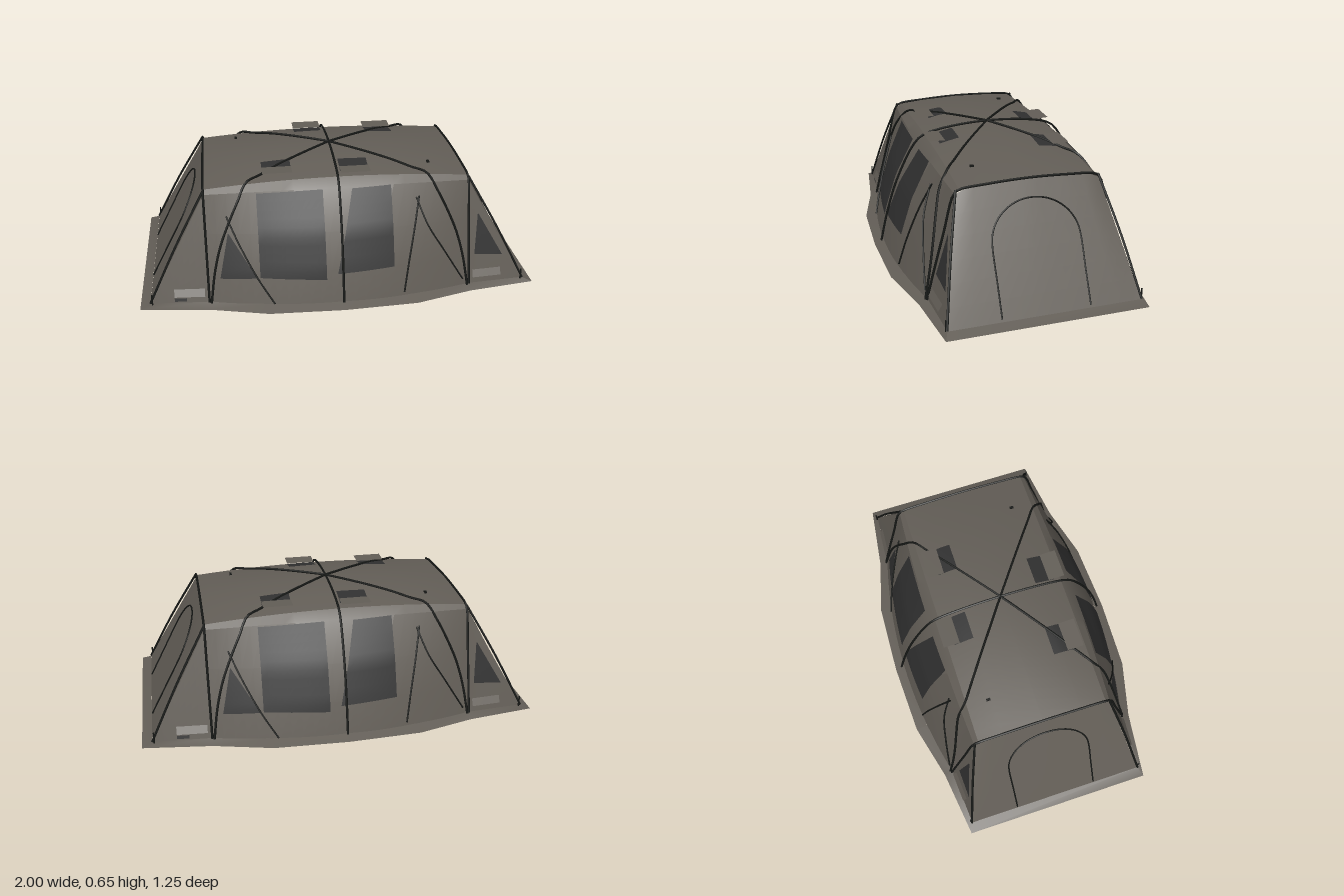
import * as THREE from 'three';
import { toCreasedNormals } from 'three/addons/utils/BufferGeometryUtils.js';

const material = (name, color, side = THREE.DoubleSide) => {
  const m = new THREE.MeshStandardMaterial({ color, side });
  m.name = name;
  return m;
};
const lerp = THREE.MathUtils.lerp;

// Half cross-sections [z, y] from the ground to the crown
const MID = [[.575, .015], [.535, .18], [.475, .36], [.375, .55], [.33, .588], [.2, .618], [0, .632]];
const END = [[.49, .015], [.452, .165], [.402, .355], [.352, .54], [.33, .558], [.2, .57], [0, .577]];
const EX = .66, BX = .95; // end arch and foot of the end wall

function section(x) {
  const t = Math.min(1, (x / EX) ** 2);
  return MID.map((p, i) => [lerp(p[0], END[i][0], t), lerp(p[1], END[i][1], t)]);
}
function interpolate(points, from, to, value) {
  for (let i = 0; i < points.length - 1; i++) {
    const a = points[i], b = points[i + 1];
    const s = (value - a[from]) / (b[from] - a[from]);
    if (s <= 1 || i === points.length - 2) return lerp(a[to], b[to], Math.max(0, s));
  }
}
const roofY = (x, z) => interpolate(section(x), 0, 1, Math.abs(z));
function sideZ(x, y) {
  const ax = Math.abs(x);
  if (ax <= EX) return interpolate(section(x), 1, 0, y);
  const k = (ax - EX) / (BX - EX);
  const top = .54 - .52 * k;
  return lerp(.49 - .02 * k, .352 + .118 * k, Math.min(1, (y - .015) / (top - .015)));
}
function endX(y, z) {
  const top = roofY(EX, Math.min(.34, Math.abs(z)));
  return EX + (BX - EX) * (top - y) / (top - .015);
}

// Surface from a rule f(u, v) -> [x, y, z]
function surface(f, nu, nv) {
  const pos = [], index = [];
  for (let i = 0; i <= nu; i++) for (let j = 0; j <= nv; j++) pos.push(...f(i / nu, j / nv));
  for (let i = 0; i < nu; i++) for (let j = 0; j < nv; j++) {
    const a = i * (nv + 1) + j, b = a + nv + 1;
    index.push(a, b, b + 1, a, b + 1, a + 1);
  }
  const g = new THREE.BufferGeometry();
  g.setAttribute('position', new THREE.Float32BufferAttribute(pos, 3));
  g.setIndex(index);
  g.computeVertexNormals();
  return g;
}
// Patch lying on the side wall; corners [x, y]: bottom left, bottom right, top right, top left
function sidePanel([bl, br, tr, tl], offset) {
  return surface((u, v) => {
    const x = lerp(lerp(bl[0], br[0], u), lerp(tl[0], tr[0], u), v);
    const y = lerp(lerp(bl[1], br[1], u), lerp(tl[1], tr[1], u), v);
    return [x, y, sideZ(x, y) + offset];
  }, 10, 10);
}
function tube(points, radius = .006) {
  const curve = new THREE.CatmullRomCurve3(points.map(p => new THREE.Vector3(...p)), false, 'centripetal');
  return new THREE.TubeGeometry(curve, Math.max(12, points.length * 4), radius, 6);
}
const sideLine = (points, offset = .005) => points.map(([x, y]) => [x, y, sideZ(x, y) + offset]);

export function createModel() {
  const fabric = material('tent fabric', 0x625d56);
  const mesh = material('dark window mesh', 0x303030);
  const pole = material('black pole', 0x151715);
  const floorMat = material('black groundsheet', 0x171717, THREE.FrontSide);
  const model = new THREE.Group();
  model.name = 'tunnelTent';
  const half = new THREE.Group();
  half.name = 'frontHalf';
  const add = (parent, name, geometry, mat) => {
    const m = new THREE.Mesh(geometry, mat);
    m.name = name;
    parent.add(m);
    return m;
  };

  // Main canopy, lofted along x
  const body = surface((u, v) => {
    const x = lerp(-EX, EX, u), s = section(x), j = Math.round(v * 12);
    const p = s[j <= 6 ? j : 12 - j];
    return [x, p[1], j <= 6 ? p[0] : -p[0]];
  }, 24, 12);
  add(model, 'canopy', toCreasedNormals(body, .42), fabric);

  // Ground skirt and groundsheet
  const ring = (pts) => {
    const front = [...pts, ...pts.slice(0, -1).reverse().map(([x, z]) => [-x, z])];
    const all = [...front, ...front.map(([x, z]) => [-x, -z])];
    return [...all, all[0]];
  };
  const outer = ring([[1, .49], [EX, .535], [.37, .61], [0, .625]]);
  const inner = ring([[BX, .47], [EX, .49], [.37, .549], [0, .575]]);
  const n = outer.length - 1;
  add(model, 'groundSkirt', surface((u, v) => {
    const i = Math.round(u * n), p = v < .5 ? inner[i] : outer[i];
    return [p[0], v < .5 ? .018 : 0, p[1]];
  }, n, 1), fabric);
  const sheet = new THREE.ShapeGeometry(new THREE.Shape(
    outer.slice(0, n).map(([x, z]) => new THREE.Vector2(x * .985, z * .975))));
  sheet.rotateX(Math.PI / 2);
  add(model, 'groundsheet', sheet, floorMat).position.y = .002;

  // Arched poles across the tent
  for (const [x, out] of [[0, .014], [EX, .005], [-EX, .005]]) {
    const s = section(x).map(([z, y]) => [x, y + out * .5, z + (z > 0 ? out : 0)]);
    const back = s.slice(0, -1).reverse().map(([px, y, z]) => [px, y, -z]);
    add(model, 'archPole', tube([...s, ...back]), pole);
  }

  // Sloping end wall with arched door seam
  add(half, 'endWall', surface((u, v) => {
    const w = 1 - 2 * u, top = roofY(EX, .352 * w);
    return [lerp(BX, EX, v), lerp(.015, top, v), w * lerp(.47, .352, v)];
  }, 16, 6), fabric);
  const door = [[.03, .215], [.18, .215], [.32, .215]];
  for (let i = 1; i < 12; i++) {
    const a = Math.PI * i / 12;
    door.push([.32 + .18 * Math.sin(a), .215 * Math.cos(a)]);
  }
  door.push([.32, -.215], [.18, -.215], [.03, -.215]);
  add(half, 'doorSeam', tube(door.map(([y, z]) => [endX(y, z) + .004, y, z]), .004), pole);

  for (const s of [1, -1]) {
    // Triangular side walls, corner poles and pegs
    const wall = [[EX, .015], [BX, .015], [BX, .02], [EX, .54]].map(([x, y]) => [x * s, y]);
    add(half, 'cornerWall', sidePanel(s > 0 ? wall : [wall[1], wall[0], wall[3], wall[2]], 0), fabric);
    add(half, 'cornerPole', tube([[EX * s, .56, .348], [.81 * s, .295, .415], [BX * s, .02, .472]]), pole);
    add(half, 'peg', new THREE.CylinderGeometry(.004, .004, .06, 6), pole).position.set(.94 * s, .04, .475);

    // Crossing roof pole, from foot to crown
    const feet = [[.65, .015], [.625, .17], [.59, .3], [.54, .42], [.495, .51]];
    const path = sideLine(feet.map(([x, y]) => [x * s, y]), .007);
    for (const x of [.45, .38, .3, .2, .1, 0]) path.push([x * s, roofY(x, x * .73) + .008, x * .73]);
    add(half, 'crossPole', tube(path), pole);
  }

  // Side windows
  const windows = {
    largeWindow: [[-.405, .15], [-.08, .135], [-.08, .548], [-.405, .542]],
    slantedWindow: [[-.025, .16], [.26, .172], [.26, .55], [.065, .545]],
    doorWindow: [[-.6, .14], [-.42, .147], [-.548, .36], [-.552, .36]],
    cornerWindow: [[.69, .165], [.84, .15], [.712, .37], [.708, .37]],
  };
  for (const [name, corners] of Object.entries(windows)) {
    add(half, name, sidePanel(corners, .006), mesh);
  }

  // Zip seams on the side
  const seams = [
    [[-.555, .44], [-.5, .31], [-.42, .15], [-.34, .02]],
    [[.4, .49], [.37, .35], [.335, .18], [.31, .035]],
    [[.385, .485], [.44, .35], [.52, .22], [.625, .05]],
  ];
  for (const s of seams) add(half, 'sideSeam', tube(sideLine(s), .0045), pole);

  // Roof vents: mesh opening with a raised flap
  for (const [x, z] of [[-.295, .16], [.09, .195]]) {
    add(half, 'roofVentMesh', surface((u, v) => {
      const px = x + (u - .5) * .145, pz = z + .1 * (1 - v);
      return [px, roofY(px, pz) + .006, pz];
    }, 4, 4), mesh);
    add(half, 'roofVentFlap', surface((u, v) =>
      [x + (u - .5) * .148, lerp(.617, roofY(x, z + .07) + .012, v), z + lerp(.155, .072, v)], 1, 1), fabric);
  }

  // Low vents on the corner walls and small roof loop
  add(half, 'lowVent', sidePanel([[-.83, .026], [-.77, .026], [-.77, .042], [-.83, .042]], .006), mesh);
  for (const s of [1, -1]) {
    add(half, 'lowVentFlap', surface((u, v) => {
      const x = s * lerp(.68, .83, s > 0 ? u : 1 - u);
      return [x, lerp(.05, .085, v), sideZ(x, .085) + lerp(.022, .002, v)];
    }, 4, 1), fabric);
  }
  add(half, 'roofLoop', new THREE.BoxGeometry(.012, .008, .02), pole)
    .position.set(.48, roofY(.48, .22) + .004, .22);

  // The back half is the front turned half way round
  const backHalf = half.clone();
  backHalf.name = 'backHalf';
  backHalf.rotation.y = Math.PI;
  model.add(half, backHalf);
  return model;
}
